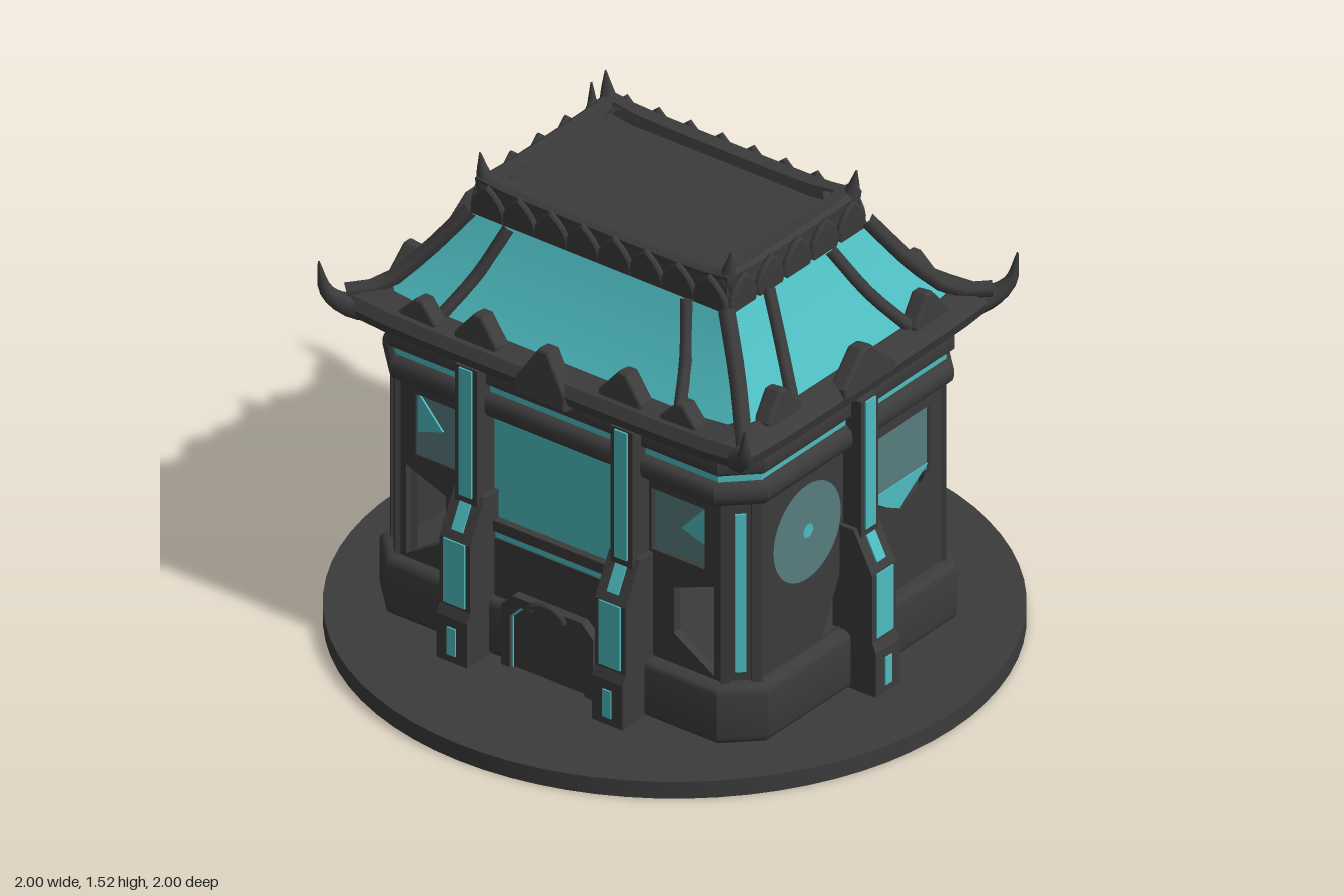
import * as THREE from 'three';
import { toCreasedNormals } from 'three/addons/utils/BufferGeometryUtils.js';

const mat = (name, color) => Object.assign(new THREE.MeshStandardMaterial({ color }), { name });
const V = (x, y, z) => new THREE.Vector3(x, y, z);

export function createModel() {
  const dark = mat('charcoal', 0x3b3b3b);
  const teal = mat('teal', 0x4dbcc0);
  const glass = mat('smokyGlass', 0x587c7e);
  glass.side = THREE.DoubleSide;

  const model = new THREE.Group();
  const house = new THREE.Group();
  house.name = 'pavilion';
  house.position.set(-0.012, 0, 0.015);
  model.add(house);

  const add = (parent, name, geo, m, x = 0, y = 0, z = 0) => {
    const mesh = new THREE.Mesh(geo, m);
    mesh.name = name;
    mesh.position.set(x, y, z);
    parent.add(mesh);
    return mesh;
  };
  const box = (parent, name, w, h, d, m, x, y, z) =>
    add(parent, name, new THREE.BoxGeometry(w, h, d), m, x, y, z);
  const poly = (pts, m = 1) => new THREE.Shape(pts.map(([x, y]) => new THREE.Vector2(x * m, y)));
  const rect = (x0, x1, y0, y1) => [[x0, y0], [x1, y0], [x1, y1], [x0, y1]];
  // Upright slab cut from an outline with holes
  const slab = (parent, name, pts, depth, material, z, m = 1, holes = []) => {
    const s = poly(pts, m);
    s.holes = holes.map(h => poly(h, m));
    return add(parent, name, new THREE.ExtrudeGeometry(s, { depth, bevelEnabled: false }), material, 0, 0, z);
  };
  // Chamfered rectangular course with soft edges
  const course = (name, hx, hz, c, y0, y1, bevel, m) => {
    const x = hx - bevel, z = hz - bevel;
    const s = poly([[x, z - c], [x - c, z], [c - x, z], [-x, z - c], [-x, c - z], [c - x, -z], [x - c, -z], [x, c - z]]);
    const g = new THREE.ExtrudeGeometry(s, {
      depth: y1 - y0 - 2 * bevel, bevelEnabled: bevel > 0, bevelSize: bevel, bevelThickness: bevel, bevelSegments: 3 });
    g.rotateX(-Math.PI / 2);
    return add(house, name, toCreasedNormals(g, 0.7), m, 0, y0 + bevel, 0);
  };
  // Skin through rectangular rings [halfX, halfZ, y]; cornerLift raises the ends of every side
  const rings = (name, list, m, cornerLift = 0) => {
    const n = 10, pos = [];
    const loop = list.map(([hx, hz, y]) => {
      const cs = [[hx, hz], [hx, -hz], [-hx, -hz], [-hx, hz]], out = [];
      cs.forEach((a, k) => {
        const b = cs[(k + 1) % 4];
        for (let i = 0; i < n; i++) {
          const t = i / n;
          out.push([a[0] + (b[0] - a[0]) * t, y + cornerLift * Math.abs(2 * t - 1) ** 6, a[1] + (b[1] - a[1]) * t]);
        }
      });
      return out;
    });
    for (let r = 0; r + 1 < loop.length; r++) for (let i = 0; i < 4 * n; i++) {
      const j = (i + 1) % (4 * n), [p, q] = [loop[r], loop[r + 1]];
      pos.push(...p[i], ...p[j], ...q[j], ...p[i], ...q[j], ...q[i]);
    }
    const g = new THREE.BufferGeometry();
    g.setAttribute('position', new THREE.Float32BufferAttribute(pos, 3));
    return add(house, name, toCreasedNormals(g, 0.5), m);
  };
  // Tube narrowing to a point
  const horn = (name, pts, r) => {
    const curve = new THREE.CatmullRomCurve3(pts), g = new THREE.TubeGeometry(curve, 12, r, 8), p = g.attributes.position;
    for (let i = 0; i < p.count; i++) {
      const t = Math.floor(i / 9) / 12, c = curve.getPointAt(t), v = V().fromBufferAttribute(p, i);
      v.sub(c).multiplyScalar(1 - 0.96 * t).add(c);
      p.setXYZ(i, v.x, v.y, v.z);
    }
    g.computeVertexNormals();
    add(house, name, g, dark);
  };
  const rib = (name, pts, r) =>
    add(house, name, new THREE.TubeGeometry(new THREE.CatmullRomCurve3(pts), 6, r, 6), dark);
  const facing = (name, angle) => {
    const g = new THREE.Group();
    g.name = name;
    g.rotation.y = angle;
    house.add(g);
    return g;
  };

  // Round base, plinth and beams
  add(model, 'base', new THREE.CylinderGeometry(1, 1, 0.055, 72), dark, 0, 0.0275, 0);
  course('plinth', 0.7, 0.54, 0.09, 0.05, 0.24, 0.025, dark);
  course('mainBeam', 0.695, 0.54, 0.09, 0.825, 0.91, 0.035, dark);
  course('tealBand', 0.67, 0.515, 0.09, 0.9, 0.94, 0, teal);
  course('upperBeam', 0.69, 0.535, 0.09, 0.935, 1.0, 0.012, dark);

  // Buttressed pillar with teal inlays; w is the distance of the wall
  const pillar = (parent, x, w) => {
    const g = new THREE.Group();
    g.name = 'pillar';
    g.position.set(x, 0, w);
    parent.add(g);
    box(g, 'shaft', 0.08, 0.95, 0.1, dark, 0, 0.525, 0.02);
    box(g, 'shaftInlay', 0.046, 0.42, 0.008, teal, 0, 0.785, 0.072);
    const side = poly([[0.02, 0.05], [-0.135, 0.05], [-0.135, 0.2], [-0.122, 0.23], [-0.122, 0.45], [-0.055, 0.58], [0.02, 0.58]]);
    const geo = new THREE.ExtrudeGeometry(side, { depth: 0.11, bevelEnabled: false });
    geo.rotateY(Math.PI / 2);
    add(g, 'buttress', geo, dark, -0.055, 0, 0);
    box(g, 'buttressInlay', 0.076, 0.21, 0.008, teal, 0, 0.345, 0.123);
    box(g, 'slopeInlay', 0.04, 0.085, 0.008, teal, 0, 0.515, 0.09).rotation.x = -0.476;
    box(g, 'footInlay', 0.03, 0.09, 0.008, teal, 0, 0.125, 0.136);
  };

  // Long walls, front and back
  [['frontWall', 0], ['backWall', Math.PI]].forEach(([name, angle], k) => {
    const g = facing(name, angle);
    for (const m of [-1, 1]) {
      slab(g, 'wallPanel', rect(0.24, 0.585, 0.2, 0.85), 0.03, dark, 0.47, m,
        [rect(0.33, 0.52, 0.59, 0.79), [[0.41, 0.34], [0.41, 0.49], [0.555, 0.545], [0.555, 0.25]]]);
      slab(g, 'window', rect(0.32, 0.53, 0.58, 0.8), 0.008, glass, 0.474, m);
      slab(g, 'windowFacet', [[0.52, 0.79], [0.43, 0.69], [0.52, 0.66]], 0.006, teal, 0.484, m);
      pillar(g, 0.28 * m, 0.505);
    }
    slab(g, 'centrePanel', rect(-0.25, 0.25, 0.485, 0.83), 0.02, teal, 0.475);
    if (k) {
      add(g, 'roundWindow', new THREE.CircleGeometry(0.14, 40), glass, 0, 0.66, 0.5);
      add(g, 'roundWindowHub', new THREE.CircleGeometry(0.02, 16), teal, 0, 0.66, 0.504);
    }
    box(g, 'lintel', 0.5, 0.035, 0.06, dark, 0, 0.472, 0.49);
    box(g, 'lintelStrip', 0.5, 0.028, 0.04, teal, 0, 0.442, 0.49);
    box(g, 'doorWall', 0.5, 0.22, 0.05, dark, 0, 0.32, 0.49);
    // Arched door
    const arch = (w, h) => [[-w, 0.05], [w, 0.05], [w, h - 0.04], [w - 0.04, h], [0.04 - w, h], [-w, h - 0.04]];
    slab(g, 'doorFrame', arch(0.165, 0.295), 0.03, dark, 0.53, 1, [arch(0.135, 0.265)]);
    slab(g, 'doorTrim', arch(0.138, 0.268), 0.008, teal, 0.543, 1, [arch(0.13, 0.26)]);
    slab(g, 'door', arch(0.135, 0.265), 0.01, dark, 0.536);
    add(g, 'doorOrnament', new THREE.TorusGeometry(0.06, 0.012, 6, 16, Math.PI), dark, 0, 0.27, 0.56).scale.y = 0.6;
  });

  // Short walls, left and right
  for (const s of [1, -1]) {
    const g = facing('sideWall', s * Math.PI / 2), m = -s;
    slab(g, 'wallPanel', rect(-0.425, 0.425, 0.2, 0.85), 0.03, dark, 0.63, m,
      [[[0.055, 0.25], [0.135, 0.25], [0.055, 0.42]], rect(-0.06, -0.03, 0.6, 0.8),
        [[-0.095, 0.78], [-0.365, 0.78], [-0.365, 0.57], [-0.23, 0.5], [-0.095, 0.57]]]);
    slab(g, 'window', rect(-0.37, -0.09, 0.56, 0.79), 0.008, glass, 0.636, m);
    slab(g, 'windowFacet', [[-0.37, 0.58], [-0.23, 0.49], [-0.09, 0.58]], 0.008, teal, 0.64, m);
    add(g, 'roundWindow', new THREE.CircleGeometry(0.155, 48), glass, 0.215 * m, 0.635, 0.668);
    add(g, 'roundWindowHub', new THREE.CircleGeometry(0.022, 16), teal, 0.215 * m, 0.64, 0.672);
    pillar(g, 0, 0.655);
  }

  // Corner posts, roof hips and curled horns
  for (const sx of [1, -1]) for (const sz of [1, -1]) {
    const post = new THREE.Group();
    post.name = 'cornerPost';
    post.position.set(0.6 * sx, 0, 0.44 * sz);
    post.rotation.y = Math.atan2(sx, sz);
    house.add(post);
    box(post, 'post', 0.115, 0.66, 0.05, dark, 0, 0.52, 0);
    box(post, 'postInlay', 0.032, 0.52, 0.008, teal, 0, 0.53, 0.028);
    for (const e of [-0.045, 0.045]) box(post, 'postEdge', 0.03, 0.62, 0.04, dark, e, 0.53, 0.02);

    const P = (x, y, z) => V(x * sx, y, z * sz);
    horn('eaveHorn', [P(0.62, 1.045, 0.48), P(0.7, 1.05, 0.57), P(0.75, 1.1, 0.615), P(0.768, 1.2, 0.63)], 0.06);
    horn('crownHorn', [P(0.38, 1.385, 0.25), P(0.425, 1.4, 0.28), P(0.44, 1.44, 0.285), P(0.452, 1.515, 0.29)], 0.052);
    rib('hip', [P(0.72, 1.09, 0.57), P(0.65, 1.1, 0.49), P(0.56, 1.2, 0.4), P(0.46, 1.34, 0.32)], 0.027);
    rib('frontRib', [P(0.43, 1.08, 0.5), P(0.375, 1.19, 0.4), P(0.32, 1.33, 0.325)], 0.021);
    rib('sideRib', [P(0.66, 1.08, 0.27), P(0.565, 1.19, 0.2), P(0.47, 1.33, 0.14)], 0.021);
  }

  // Roof slopes, eave and crown
  rings('roofSlopes', [[0.66, 0.51, 1.06], [0.56, 0.4, 1.19], [0.465, 0.325, 1.33]], teal);
  rings('eave', [[0.55, 0.4, 0.995], [0.68, 0.545, 0.99], [0.715, 0.58, 1.01], [0.725, 0.595, 1.045],
    [0.705, 0.575, 1.075], [0.65, 0.5, 1.085], [0.62, 0.47, 1.07]], dark, 0.015);
  rings('crown', [[0.44, 0.29, 1.3], [0.465, 0.325, 1.31], [0.45, 0.305, 1.37], [0.455, 0.31, 1.425],
    [0.44, 0.295, 1.435], [0.4, 0.255, 1.43], [0.39, 0.245, 1.395]], dark, 0.015);
  box(house, 'crownFloor', 0.82, 0.04, 0.53, dark, 0, 1.38, 0);

  // Leaves around the crown and peaks along the eave
  const leaf = new THREE.Shape();
  leaf.moveTo(-0.05, 0);
  leaf.quadraticCurveTo(-0.075, 0.06, 0, 0.115);
  leaf.quadraticCurveTo(0.075, 0.06, 0.05, 0);
  const leafGeo = new THREE.ExtrudeGeometry(leaf, {
    depth: 0.008, bevelEnabled: true, bevelSize: 0.006, bevelThickness: 0.006, bevelSegments: 1, curveSegments: 6 });
  const peak = (g, x, y, z, w, h) => {
    const s = poly([[-w, 0], [w, 0], [w, h * 0.25], [w * 0.15, h], [-w * 0.15, h], [-w, h * 0.25]]);
    add(g, 'eavePeak', new THREE.ExtrudeGeometry(s, {
      depth: 0.035, bevelEnabled: true, bevelSize: 0.008, bevelThickness: 0.012, bevelSegments: 2 }), dark, x, y, z)
      .rotation.x = -0.12;
  };
  for (let k = 0; k < 4; k++) {
    const long = k % 2 === 0, g = facing('roofTrim', k * Math.PI / 2);
    const n = long ? 8 : 5, half = long ? 0.4 : 0.25, out = long ? 0.315 : 0.46, eave = long ? 0.545 : 0.675;
    for (let i = 0; i < n; i++)
      add(g, 'crownLeaf', leafGeo, dark, -half + 2 * half * i / (n - 1), 1.315, out - 0.005).rotation.x = 0.06;
    peak(g, 0, long ? 1.0 : 1.04, eave + 0.01, long ? 0.085 : 0.11, long ? 0.15 : 0.11);
    for (const m of [-1, 1]) {
      peak(g, m * (long ? 0.26 : 0.34), 1.06, eave - 0.03, 0.07, 0.095);
      if (long) peak(g, m * 0.47, 1.06, eave - 0.03, 0.06, 0.07);
    }
  }
  return model;
}
